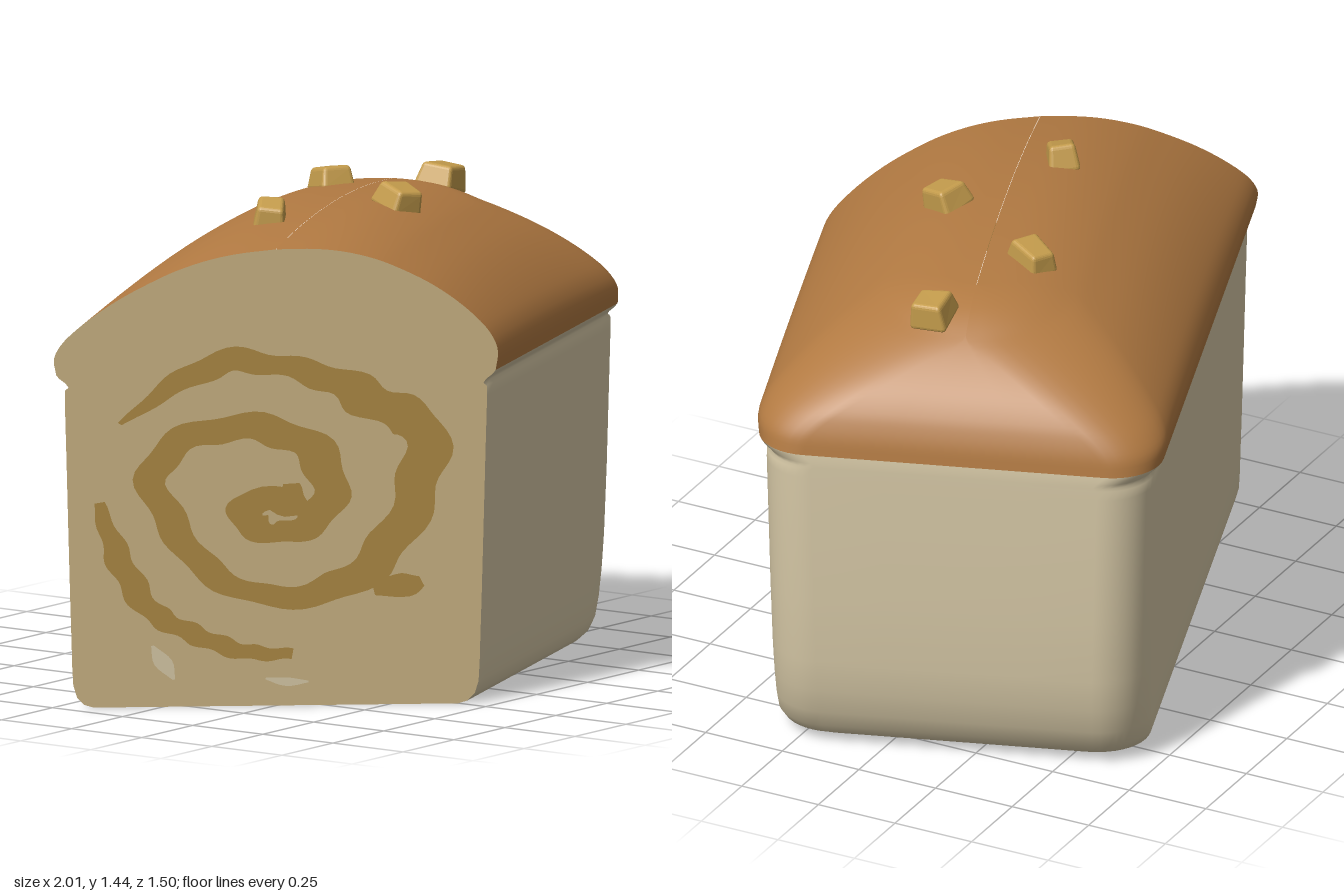
import * as THREE from 'three';
import { RoundedBoxGeometry } from 'three/addons/geometries/RoundedBoxGeometry.js';

const mat = (name, color, side = THREE.FrontSide) => {
  const m = new THREE.MeshStandardMaterial({ color, side });
  m.name = name;
  return m;
};

// Loaf axes: u runs along the loaf, v across it, turned about y.
const C = 0.949, S = 0.316, MID = 0.05;
const place = (u, v, y) => [C * u + S * v, y, -S * u + C * v];
const cutU = (v) => -0.873 + 0.394 * (v + 0.544);

// Surface through equal rows of points.
function grid(rows) {
  const n = rows[0].length, index = [];
  for (let j = 0; j < rows.length - 1; j++) {
    for (let i = 0; i < n - 1; i++) {
      const a = j * n + i, b = a + 1, c = a + n, d = c + 1;
      index.push(a, c, b, b, c, d);
    }
  }
  const g = new THREE.BufferGeometry();
  g.setAttribute('position', new THREE.Float32BufferAttribute(rows.flat(2), 3));
  g.setIndex(index);
  g.computeVertexNormals();
  return g;
}

// Horizontal outline: back side, rounded end, front side (open at the cut).
function outline(w, e, radius, height) {
  const r = Math.min(radius, w), pts = [], half = [];
  for (let i = 0; i <= 18; i++) half.push([i / 18, null]);
  for (let i = 1; i <= 10; i++) half.push([1, (i / 10) * Math.PI / 2]);
  half.push([1, 'end']);
  const point = ([f, a], s) => {
    let v = MID + s * w, u;
    if (a === null) {
      const start = cutU(v);
      u = start + (e - r - start) * f;
    } else if (a === 'end') {
      u = e; v = MID + s * (w - r) * 0.5;
    } else {
      u = e - r + r * Math.sin(a);
      v = MID + s * (w - r + r * Math.cos(a));
    }
    return place(u, v, height(u));
  };
  for (const h of half) pts.push(point(h, -1));
  for (const h of half.slice().reverse()) pts.push(point(h, 1));
  return pts;
}

// Flat brush stroke on the cut face; points are [x, y, width].
function stroke(points, wobble, steps) {
  const curve = new THREE.CatmullRomCurve3(points.map((p) => new THREE.Vector3(...p)));
  const rows = [];
  for (let i = 0; i <= steps; i++) {
    const t = i / steps, p = curve.getPoint(t), d = curve.getTangent(t);
    const l = Math.hypot(d.x, d.y) || 1;
    rows.push([1, -1].map((s) => {
      const w = s * p.z / 2 * (1 + wobble * Math.sin(i * 0.75 + s * 1.3));
      const x = p.x - d.y / l * w, y = p.y + d.x / l * w;
      return [x - 0.003, y, -0.24 + (x + 1) * 0.98 / 0.82 + 0.0025];
    }));
  }
  return grid(rows);
}

export function createModel() {
  const group = new THREE.Group();
  const bread = mat('pale bread', 0xd6c8a6, THREE.DoubleSide);
  const crumb = mat('cut crumb', 0xc8b182);
  const crust = mat('brown crust', 0xb27a42);
  const filling = mat('swirl filling', 0xac8843, THREE.DoubleSide);
  const nugget = mat('golden nugget', 0xc49c4c);
  const add = (name, geometry, material) => {
    const m = new THREE.Mesh(geometry, material);
    m.name = name;
    group.add(m);
    return m;
  };

  // Lower loaf: [height, half width, end position]
  const body = [
    [0, 0.49, 0.71], [0.008, 0.515, 0.745], [0.03, 0.535, 0.785], [0.065, 0.545, 0.815],
    [0.12, 0.548, 0.84], [0.2, 0.55, 0.862], [0.3, 0.553, 0.875], [0.5, 0.558, 0.885],
    [0.75, 0.564, 0.889], [0.9, 0.568, 0.89], [0.93, 0.567, 0.89], [0.938, 0.558, 0.89],
    [0.95, 0.566, 0.89], [0.965, 0.584, 0.889], [0.975, 0.591, 0.888],
  ].map(([y, w, e]) => outline(w, e, 0.15, () => y));
  add('loafBody', grid(body), bread);

  // Underside
  const base = body[0], n = base.length;
  const baseRows = [];
  for (let i = 0; i < n / 2; i++) baseRows.push([base[i], base[n - 1 - i]]);
  add('loafBase', grid(baseRows), bread);

  // Domed crust: [share of dome height, half width, end position]
  const dome = new THREE.CatmullRomCurve3([
    [0, 0.591, 0.888], [0.15, 0.597, 0.881], [0.28, 0.577, 0.868], [0.4, 0.54, 0.85],
    [0.55, 0.478, 0.815], [0.68, 0.41, 0.77], [0.8, 0.33, 0.715], [0.88, 0.265, 0.665],
    [0.95, 0.18, 0.6], [0.985, 0.1, 0.54], [1, 0, 0.48],
  ].map((p) => new THREE.Vector3(...p)));
  const top = [];
  for (let i = 0; i <= 36; i++) {
    const p = dome.getPoint(i / 36), t = Math.min(p.x, 1);
    top.push(outline(Math.max(p.y, 0.0005), p.z, 0.15 + 0.15 * t,
      (u) => 0.975 + t * (0.41 - 0.12 * u * u)));
  }
  add('topCrust', grid(top), crust);

  // Sliced face
  add('cutFace', grid([...body, ...top].map((r) => [r[n - 1], r[0]])), crumb);

  // Swirl on the sliced face
  add('swirl', stroke([
    [-0.565, 0.65, 0.03], [-0.56, 0.59, 0.06], [-0.62, 0.61, 0.07], [-0.645, 0.55, 0.07],
    [-0.6, 0.505, 0.06], [-0.53, 0.53, 0.07], [-0.49, 0.63, 0.07], [-0.53, 0.76, 0.08],
    [-0.63, 0.815, 0.08], [-0.75, 0.79, 0.07], [-0.82, 0.68, 0.06], [-0.78, 0.53, 0.06],
    [-0.71, 0.39, 0.06], [-0.6, 0.32, 0.06], [-0.47, 0.35, 0.08], [-0.38, 0.47, 0.08],
    [-0.325, 0.65, 0.08], [-0.32, 0.81, 0.09], [-0.4, 0.88, 0.1], [-0.48, 0.95, 0.08],
    [-0.58, 0.995, 0.06], [-0.68, 1.01, 0.07], [-0.78, 0.94, 0.05], [-0.88, 0.83, 0.01],
  ], 0.2, 180), filling);
  add('outerSwirl', stroke([
    [-0.92, 0.6, 0.02], [-0.88, 0.43, 0.05], [-0.82, 0.28, 0.05], [-0.74, 0.21, 0.05],
    [-0.65, 0.16, 0.045], [-0.56, 0.15, 0.03],
  ], 0.2, 60), filling);
  add('swirlSpur', stroke([
    [-0.41, 0.34, 0.04], [-0.35, 0.35, 0.07], [-0.32, 0.36, 0.03],
  ], 0, 8), filling);

  // Small pale spots
  add('paleSpotLeft', stroke([[-0.82, 0.18, 0.005], [-0.8, 0.13, 0.035], [-0.78, 0.08, 0.005]], 0, 8), bread);
  add('paleSpotRight', stroke([[-0.61, 0.08, 0.005], [-0.57, 0.07, 0.025], [-0.53, 0.07, 0.005]], 0, 8), bread);

  // Nuggets: centre, size, rotation
  [
    [[-0.33, 1.38, 0.04], [0.1, 0.075, 0.085], [0.1, 0.6, 0.15]],
    [[0.07, 1.387, 0.21], [0.1, 0.075, 0.11], [0.25, -0.35, -0.1]],
    [[0.265, 1.378, -0.18], [0.09, 0.07, 0.125], [-0.2, -0.5, -0.15]],
    [[0.64, 1.345, -0.05], [0.11, 0.075, 0.105], [0.1, 0.1, -0.2]],
  ].forEach(([p, s, r], k) => {
    const g = new RoundedBoxGeometry(s[0], s[1], s[2], 2, 0.012);
    const a = g.attributes.position;
    for (let i = 0; i < a.count; i++) {
      const y = a.getY(i) / s[1];
      const taper = 1 - 0.25 * y;
      a.setXYZ(i, a.getX(i) * taper * (1 + 1.5 * a.getZ(i) * (k % 2 ? -1 : 1)),
        a.getY(i) * (1 + 1.8 * a.getX(i)), a.getZ(i) * taper);
    }
    g.computeVertexNormals();
    const m = add('nugget' + (k + 1), g, nugget);
    m.position.set(...p);
    m.rotation.set(...r);
  });
  return group;
}
